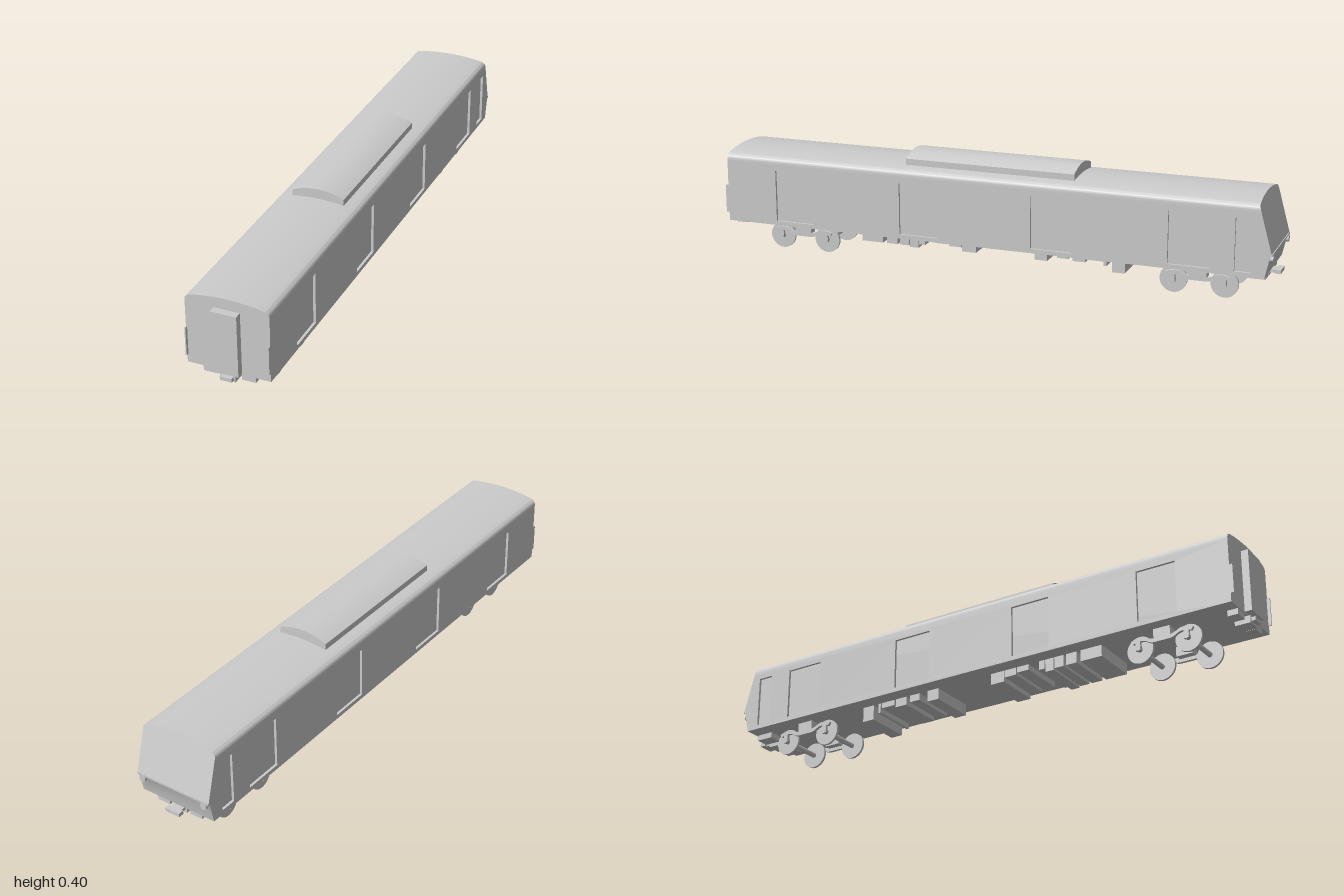
import * as THREE from 'three';
import { toCreasedNormals } from 'three/addons/utils/BufferGeometryUtils.js';

const material = new THREE.MeshStandardMaterial({ color: 0xcccccc });

export function createModel() {
  const model = new THREE.Group();

  const add = (name, geometry, x = 0, y = 0, z = 0, parent = model) => {
    const mesh = new THREE.Mesh(geometry, material);
    mesh.name = name;
    mesh.position.set(x, y, z);
    parent.add(mesh);
    return mesh;
  };
  // Box given by its limits on each axis
  const box = (name, x0, x1, y0, y1, z0, z1, parent) =>
    add(name, new THREE.BoxGeometry(x1 - x0, y1 - y0, z1 - z0),
      (x0 + x1) / 2, (y0 + y1) / 2, (z0 + z1) / 2, parent);
  // Side profile (u = -z, y) extruded from x0 to x1
  const sideExtrude = (shape, x0, x1) =>
    toCreasedNormals(new THREE.ExtrudeGeometry(shape, { depth: x1 - x0, bevelEnabled: false, curveSegments: 12 })
      .rotateY(Math.PI / 2).translate(x0, 0, 0), 0.6);
  const cylinderX = (r, length, sides = 32) =>
    new THREE.CylinderGeometry(r, r, length, sides).rotateZ(Math.PI / 2);

  const HALF = 0.142, FLOOR = 0.1, EAVES = 0.32, FRONT = 0.975, RECESS = 0.009;
  const noseU = (y) => 0.94 + (0.36 - y) * 0.278;

  // Lower body: inner core plus side walls pierced by the door recesses
  const profile = () => new THREE.Shape([
    [-FRONT, FLOOR], [0.968, FLOOR], [0.983, 0.168], [0.99, 0.18],
    [noseU(EAVES), EAVES], [-FRONT, EAVES],
  ].map(([u, y]) => new THREE.Vector2(u, y)));
  add('bodyCore', sideExtrude(profile(), -HALF + RECESS, HALF - RECESS));

  const wall = profile();
  const doors = [[-0.715, 0.142], [-0.24, 0.145], [0.24, 0.145], [0.715, 0.142], [0.896, 0.057]];
  for (const [u, w] of doors) {
    const a = u - w / 2, b = u + w / 2, y0 = 0.115, y1 = 0.298;
    wall.holes.push(new THREE.Path([
      new THREE.Vector2(a, y0), new THREE.Vector2(a, y1),
      new THREE.Vector2(b, y1), new THREE.Vector2(b, y0),
    ]));
  }
  add('leftWall', sideExtrude(wall, HALF - RECESS, HALF));
  add('rightWall', sideExtrude(wall, -HALF, -HALF + RECESS));

  // Roof: rounded cross-section, rear end sheared to the cab slope
  const roofShape = new THREE.Shape();
  roofShape.moveTo(-HALF, EAVES);
  roofShape.lineTo(HALF, EAVES);
  roofShape.lineTo(HALF, 0.327);
  roofShape.bezierCurveTo(HALF, 0.338, 0.134, 0.346, 0.122, 0.348);
  roofShape.quadraticCurveTo(0.062, 0.36, 0, 0.36);
  roofShape.quadraticCurveTo(-0.062, 0.36, -0.122, 0.348);
  roofShape.bezierCurveTo(-0.134, 0.346, -HALF, 0.338, -HALF, 0.327);
  const roof = new THREE.ExtrudeGeometry(roofShape, { depth: 1, bevelEnabled: false, curveSegments: 12 });
  const p = roof.attributes.position;
  for (let i = 0; i < p.count; i++) p.setZ(i, p.getZ(i) > 0.5 ? FRONT : -noseU(p.getY(i)));
  add('roof', toCreasedNormals(roof, 0.6));

  // Roof equipment pod
  const podShape = new THREE.Shape();
  podShape.moveTo(-0.092, 0.34);
  podShape.lineTo(0.092, 0.34);
  podShape.lineTo(0.092, 0.375);
  podShape.quadraticCurveTo(0, 0.415, -0.092, 0.375);
  add('roofPod', toCreasedNormals(new THREE.ExtrudeGeometry(podShape,
    { depth: 0.61, bevelEnabled: false, curveSegments: 24 }), 0.6), 0, 0, -0.305);

  // Front end: gangway and corner strips
  box('gangway', -0.044, 0.044, 0.105, 0.322, FRONT - 0.01, 1);
  for (const s of [-1, 1]) {
    const strip = box('cornerStrip', -0.002, 0.002, 0.13, 0.23, FRONT - 0.005, 0.986);
    strip.position.x = s * (HALF - 0.002);
  }

  // Cab end: sill below the windscreen and lamps
  box('cabSill', -HALF, HALF, 0.176, 0.183, -0.992, -0.975);
  for (const s of [-1, 1]) {
    add('headlamp', new THREE.CylinderGeometry(0.012, 0.012, 0.02, 20).rotateX(Math.PI / 2), s * 0.122, 0.165, -0.983);
  }

  // Couplers and end beams
  box('frontCoupler', -0.026, 0.026, 0.073, 0.098, 0.93, 0.985);
  box('frontCouplerHead', -0.02, 0.02, 0.08, 0.093, 0.98, 1);
  box('rearCouplerMount', -0.026, 0.026, 0.075, FLOOR, -0.96, -0.88);
  box('rearCoupler', -0.02, 0.02, 0.085, 0.096, -0.985, -0.95);
  box('rearCouplerHead', -0.028, 0.028, 0.085, 0.098, -1, -0.98);
  for (const s of [-1, 1]) {
    box('frontEndBeam', s * 0.065 - 0.024, s * 0.065 + 0.024, 0.08, FLOOR, 0.935, 0.972);
    box('rearEndBeam', s * 0.065 - 0.024, s * 0.065 + 0.024, 0.08, FLOOR, -0.962, -0.9);
  }

  // Bogies: wheelsets, dipped side frames and bolster pads
  const frame = new THREE.Shape();
  frame.moveTo(-0.112, 0.075);
  frame.bezierCurveTo(-0.06, 0.095, -0.06, 0.07, -0.03, 0.068);
  frame.lineTo(0.03, 0.068);
  frame.bezierCurveTo(0.06, 0.07, 0.06, 0.095, 0.112, 0.075);
  frame.lineTo(0.105, 0.064);
  frame.bezierCurveTo(0.055, 0.08, 0.055, 0.055, 0.03, 0.054);
  frame.lineTo(-0.03, 0.054);
  frame.bezierCurveTo(-0.055, 0.055, -0.055, 0.08, -0.105, 0.064);
  for (const z of [0.706, -0.738]) {
    const bogie = new THREE.Group();
    bogie.name = 'bogie';
    bogie.position.z = z;
    model.add(bogie);
    for (const dz of [-0.087, 0.087]) {
      add('axle', cylinderX(0.009, 0.196, 20), 0, 0.047, dz, bogie);
      for (const s of [-1, 1]) {
        add('wheel', cylinderX(0.047, 0.009), s * 0.0765, 0.047, dz, bogie);
        box('axleBox', s * 0.092 - 0.005, s * 0.092 + 0.005, 0.04, 0.076, dz - 0.009, dz + 0.009, bogie);
      }
    }
    for (const s of [-1, 1]) {
      add('sideFrame', sideExtrude(frame, -0.005, 0.005), s * 0.092, 0, 0, bogie);
      box('bolsterPad', s * 0.08 - 0.017, s * 0.08 + 0.017, 0.066, FLOOR, -0.03, 0.03, bogie);
    }
  }

  // Underfloor equipment: [z0, z1, bottom]
  const equipment = [
    [0.4, 0.48, 0.06], [0.345, 0.385, 0.06], [0.3, 0.335, 0.06], [0.265, 0.297, 0.055], [0.24, 0.262, 0.068],
    [0.155, 0.2, 0.08], [0.105, 0.15, 0.074], [0.05, 0.102, 0.06],
    [-0.21, -0.165, 0.06], [-0.285, -0.245, 0.075], [-0.345, -0.3, 0.07], [-0.405, -0.35, 0.08],
    [-0.42, -0.41, 0.065], [-0.485, -0.44, 0.046],
  ];
  for (const [z0, z1, y0] of equipment) box('underfloorBox', -0.086, 0.086, y0, FLOOR, z0, z1);

  return model;
}
